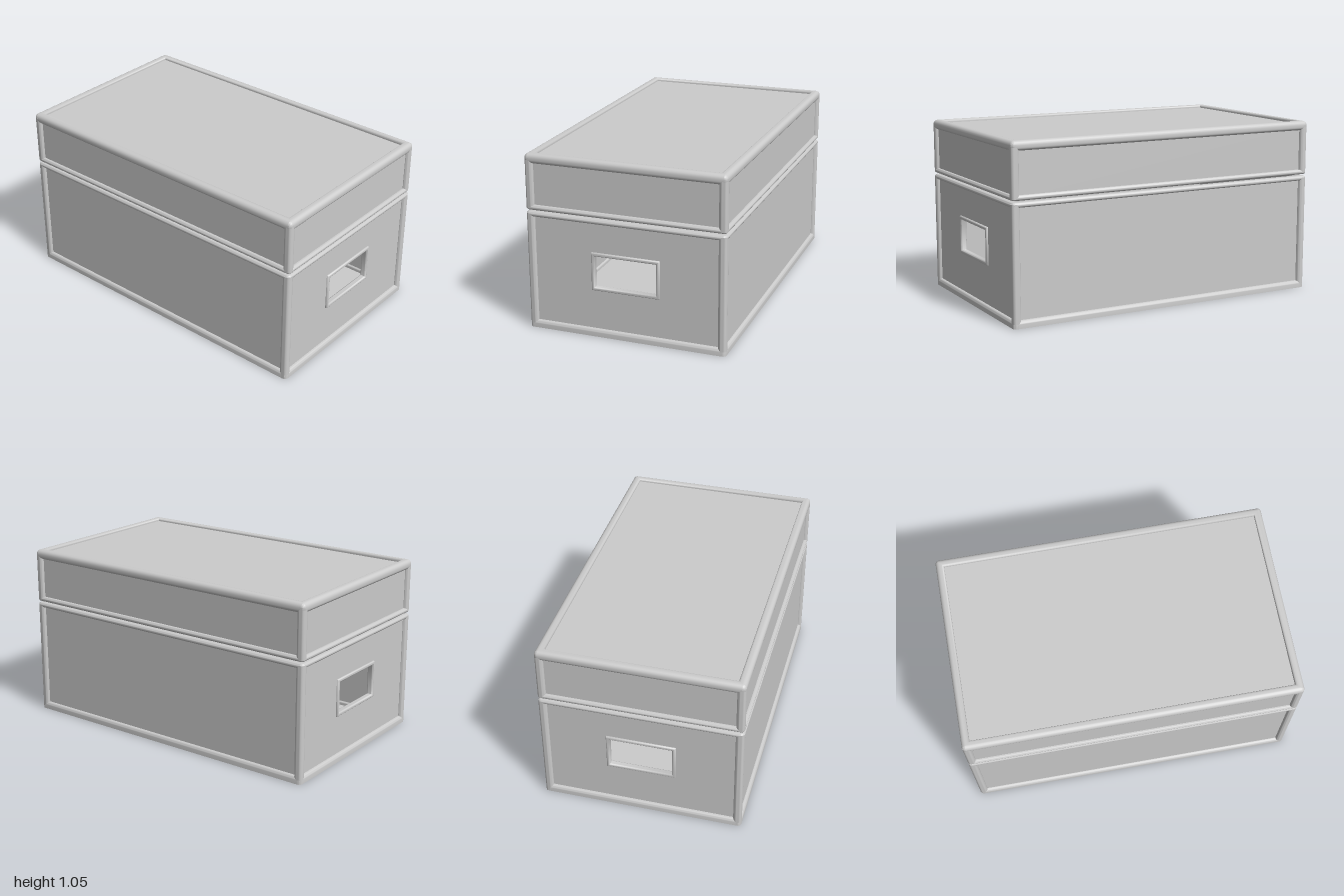
import * as THREE from 'three';
import { toCreasedNormals } from 'three/addons/utils/BufferGeometryUtils.js';

const HX = 0.6, HZ = 1, TRIM = 0.05, RECESS = 0.02, WALL = 0.02;
const material = new THREE.MeshStandardMaterial({ color: 0xcccccc });

function add(group, name, geometry, x = 0, y = 0, z = 0) {
  const mesh = new THREE.Mesh(geometry, material);
  mesh.name = name;
  mesh.position.set(x, y, z);
  group.add(mesh);
  return mesh;
}

// Counter-clockwise rectangle outline; radii run from +x+y round to +x-y
function outline(x0, y0, x1, y1, radii, steps = 5) {
  const points = [];
  radii.forEach((r, k) => {
    const cx = k === 0 || k === 3 ? x1 - r : x0 + r;
    const cy = k < 2 ? y1 - r : y0 + r;
    for (let i = 0; i <= steps; i++) {
      const a = (k + i / steps) * Math.PI / 2;
      points.push([cx + r * Math.cos(a), cy + r * Math.sin(a)]);
      if (r === 0) break;
    }
  });
  return points;
}

// Sweeps a [inset from the edge as negative u, height] profile round a rectangle
function sweepRim(hx, hz, cornerRadius, profile) {
  const columns = profile.map(([u, y]) => {
    const r = Math.max(cornerRadius + u, 0.0005);
    return outline(-hx - u, -hz - u, hx + u, hz + u, [r, r, r, r]).map(([x, z]) => [x, y, z]);
  });
  const n = columns.length, m = columns[0].length;
  const positions = columns.flat(2), index = [];
  for (let i = 0; i < n; i++) {
    for (let j = 0; j < m; j++) {
      const a = i * m + j, b = ((i + 1) % n) * m + j;
      const c = i * m + (j + 1) % m, d = ((i + 1) % n) * m + (j + 1) % m;
      index.push(a, b, c, b, d, c);
    }
  }
  const geometry = new THREE.BufferGeometry();
  geometry.setAttribute('position', new THREE.Float32BufferAttribute(positions, 3));
  geometry.setIndex(index);
  return toCreasedNormals(geometry, 0.7);
}

function rim(group, name, y0, y1, top, bottom) {
  const profile = outline(-TRIM, y0, 0, y1, [top, Math.min(top, 0.012), Math.min(bottom, 0.012), bottom]);
  add(group, name, sweepRim(HX, HZ, 0.022, profile));
}

// Rounded upright trim on the four vertical edges
function posts(group, y0, y1) {
  const shape = new THREE.Shape(
    outline(-TRIM / 2, -TRIM / 2, TRIM / 2, TRIM / 2, [0.022, 0.02, 0.02, 0.02])
      .map(([x, y]) => new THREE.Vector2(x, y)));
  const geometry = toCreasedNormals(
    new THREE.ExtrudeGeometry(shape, { depth: y1 - y0, bevelEnabled: false }).rotateX(-Math.PI / 2), 0.7);
  [[1, 1, -1], [1, -1, 0], [-1, -1, 1], [-1, 1, 2]].forEach(([sx, sz, turn]) => {
    const post = add(group, 'cornerPost', geometry, sx * (HX - TRIM / 2), y0, sz * (HZ - TRIM / 2));
    post.rotation.y = turn * Math.PI / 2;
  });
}

// Recessed side and end walls, the ends optionally pierced by a handle slot
function walls(group, y0, y1, slot) {
  const h = y1 - y0, cy = (y0 + y1) / 2;
  const wx = HX - RECESS, wz = HZ - RECESS;
  for (const s of [-1, 1]) {
    add(group, 'sidePanel', new THREE.BoxGeometry(WALL, h, 2 * wz), s * (wx - WALL / 2), cy, 0);
  }
  const shape = new THREE.Shape(outline(-wx, y0, wx, y1, [0, 0, 0, 0]).map(p => new THREE.Vector2(...p)));
  if (slot) {
    shape.holes.push(new THREE.Path(
      outline(-slot.hx, slot.y - slot.hy, slot.hx, slot.y + slot.hy, [0, 0, 0, 0])
        .reverse().map(p => new THREE.Vector2(...p))));
  }
  const end = new THREE.ExtrudeGeometry(shape, { depth: WALL, bevelEnabled: false });
  add(group, 'frontPanel', end, 0, 0, wz - WALL);
  add(group, 'backPanel', end, 0, 0, -wz);
}

export function createModel() {
  const model = new THREE.Group();
  model.name = 'storageBox';

  // Open-topped base
  const base = new THREE.Group();
  base.name = 'base';
  model.add(base);
  walls(base, 0.01, 0.7, { hx: 0.195, hy: 0.1, y: 0.395 });
  rim(base, 'bottomTrim', 0, 0.045, 0.02, 0);
  rim(base, 'topTrim', 0.683, 0.712, 0.0135, 0.0135);
  posts(base, 0.002, 0.702);
  add(base, 'floor', new THREE.BoxGeometry(2 * (HX - 0.03), 0.02, 2 * (HZ - 0.03)), 0, 0.01, 0);

  // Raised frames round the handle slots in both ends
  const frame = sweepRim(0.207, 0.115, 0.004,
    outline(-0.022, -0.02, 0, 0.02, [0.01, 0.01, 0.01, 0.01])).rotateX(Math.PI / 2);
  add(base, 'frontHandleFrame', frame, 0, 0.395, HZ - 0.028);
  add(base, 'backHandleFrame', frame, 0, 0.395, -HZ + 0.028);

  // Hollow lid, standing a hair above the base
  const lid = new THREE.Group();
  lid.name = 'lid';
  model.add(lid);
  walls(lid, 0.73, 1.02);
  rim(lid, 'bottomTrim', 0.722, 0.752, 0.014, 0.014);
  rim(lid, 'topTrim', 0.997, 1.054, 0.026, 0.02);
  posts(lid, 0.732, 1.03);
  add(lid, 'topPanel', new THREE.BoxGeometry(2 * (HX - 0.03), 0.02, 2 * (HZ - 0.03)), 0, 1.025, 0);

  return model;
}
